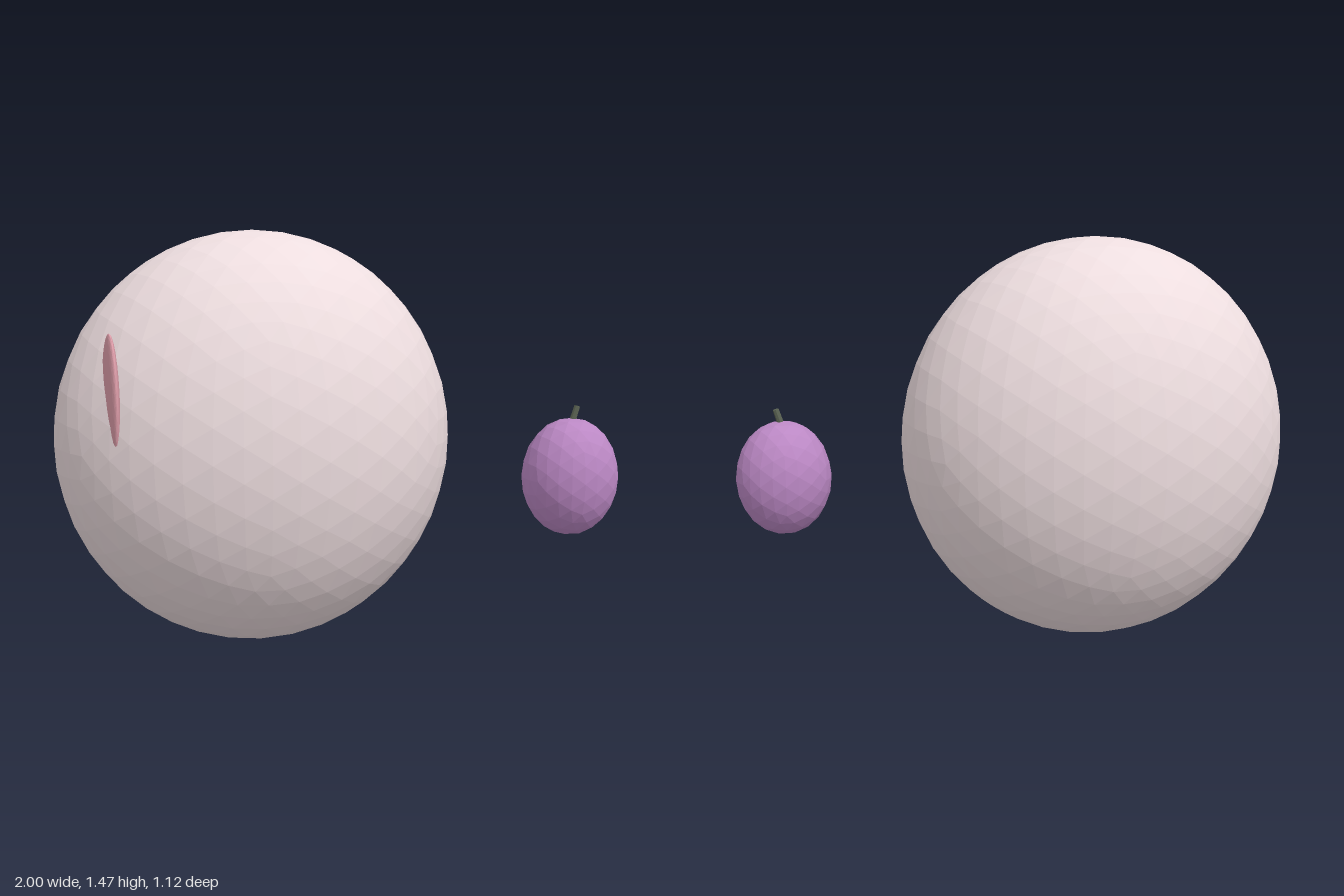
import * as THREE from 'three';

const material = (color) => new THREE.MeshStandardMaterial({ color, flatShading: true });

// Faceted ellipsoid given by its centre and three radii
function ellipsoid(name, color, detail, centre, radii) {
  const mesh = new THREE.Mesh(new THREE.IcosahedronGeometry(1, detail), material(color));
  mesh.name = name;
  mesh.scale.set(...radii);
  mesh.position.set(...centre);
  return mesh;
}

export function createModel() {
  const model = new THREE.Group();
  model.name = 'roundBodyWithFruit';

  // Large pale body
  model.add(ellipsoid('body', 0xeddddf, 7, [-0.295, 0.735, 0], [0.705, 0.735, 0.56]));

  // Thin pink disc half sunk into the body's side
  const disc = ellipsoid('sideDisc', 0xdc9ca8, 5, [-0.795, 0.91, 0.32], [0.022, 0.23, 0.1]);
  disc.rotation.y = 0.2;
  model.add(disc);

  // Small purple fruit with a tilted stem
  const fruit = new THREE.Group();
  fruit.name = 'fruit';
  fruit.position.set(0.822, 0.593, 0.215);
  fruit.add(ellipsoid('fruitBody', 0xbb88c4, 3, [0, 0, 0], [0.174, 0.213, 0.156]));
  const stem = new THREE.Mesh(new THREE.CylinderGeometry(0.011, 0.013, 0.09, 8), material(0x5c6454));
  stem.name = 'fruitStem';
  stem.position.set(0.007, 0.213, 0);
  stem.rotation.z = -0.3;
  fruit.add(stem);
  model.add(fruit);

  return model;
}
